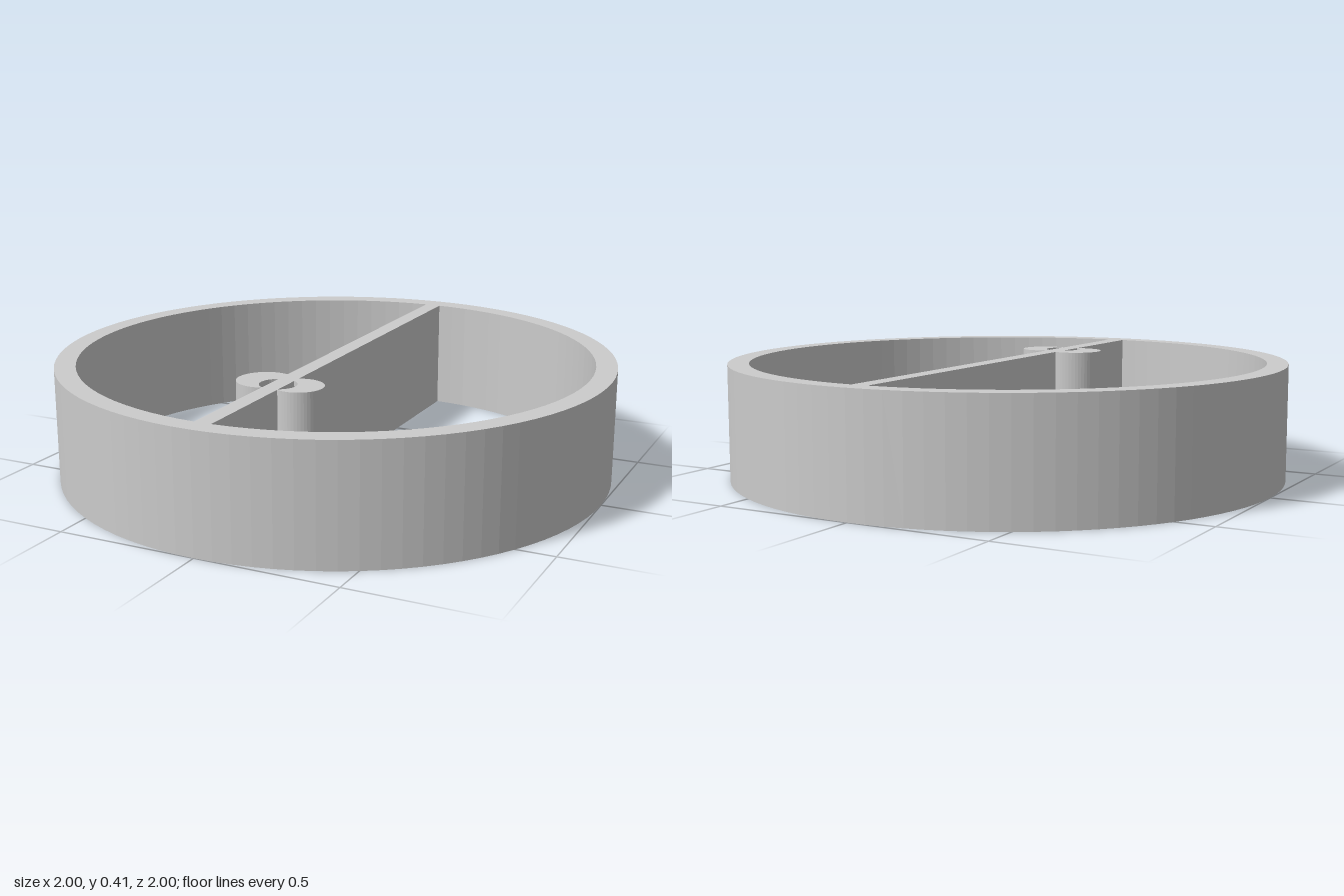
import * as THREE from 'three';

const HEIGHT = 0.415, OUTER = 1, INNER = 0.925, HALF_BAR = 0.03;

// Points on an arc in plan, as (x, z)
function arc(cx, cz, r, from, to, steps) {
  return Array.from({ length: steps + 1 }, (_, i) => {
    const a = from + ((to - from) * i) / steps;
    return new THREE.Vector2(cx + r * Math.cos(a), cz + r * Math.sin(a));
  });
}

// Mirror a plan outline across x
const side = (points, s) => points.map((p) => new THREE.Vector2(s * p.x, p.y));

// Extrude a plan outline through the full height
function slab(shape, name, material) {
  const geometry = new THREE.ExtrudeGeometry(shape, { depth: HEIGHT, bevelEnabled: false });
  geometry.rotateX(Math.PI / 2).translate(0, HEIGHT, 0);
  const mesh = new THREE.Mesh(geometry, material);
  mesh.name = name;
  return mesh;
}

export function createModel() {
  const group = new THREE.Group();
  group.name = 'dividedRing';
  const material = new THREE.MeshStandardMaterial({ color: 0xcccccc });

  // Ring and dividing wall: a disc with two D-shaped openings
  const frame = new THREE.Shape(arc(0, 0, OUTER, 0, Math.PI * 2, 96).slice(0, -1));
  const half = Math.acos(HALF_BAR / INNER);
  for (const s of [1, -1]) {
    frame.holes.push(new THREE.Path(side(arc(0, 0, INNER, -half, half, 48), s)));
  }
  group.add(slab(frame, 'ringAndDivider', material));

  // Crescent posts either side of the wall, cut by a shared round bore
  const edge = HALF_BAR - 0.002, bore = 0.065, boreZ = 0.44;
  const b = Math.acos(edge / bore);
  const posts = [
    { name: 'leftPost', s: 1, x: 0.07, z: 0.426, r: 0.087 },
    { name: 'rightPost', s: -1, x: 0.065, z: 0.41, r: 0.1 },
  ];
  for (const { name, s, x, z, r } of posts) {
    const a = Math.acos((edge - x) / r);
    const outline = [...arc(x, z, r, -a, a, 32), ...arc(0, boreZ, bore, b, -b, 16)];
    group.add(slab(new THREE.Shape(side(outline, s)), name, material));
  }
  return group;
}
